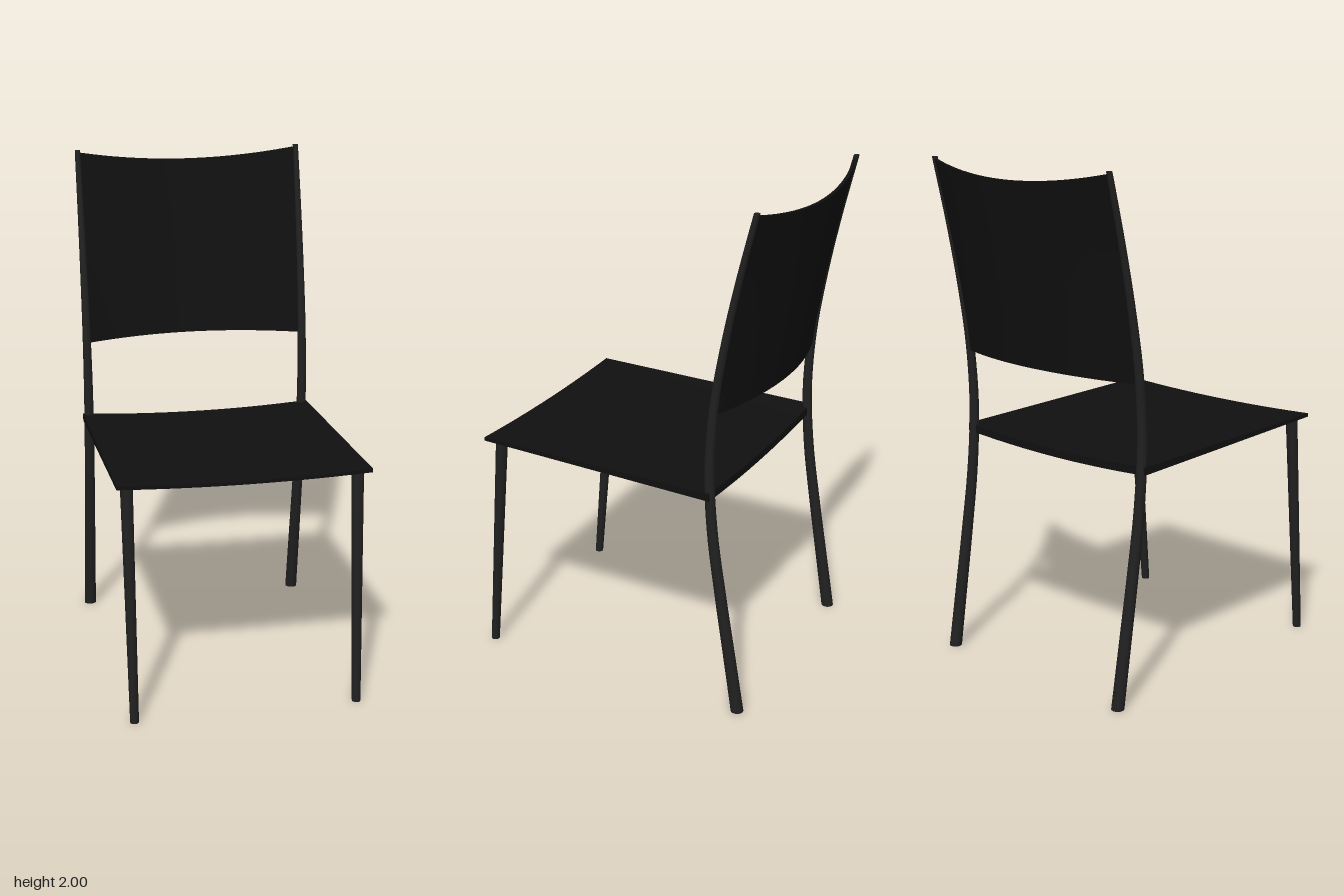
import * as THREE from 'three';

const { lerp } = THREE.MathUtils;
const shellMaterial = new THREE.MeshStandardMaterial({ color: 0x101010 });
const legMaterial = new THREE.MeshStandardMaterial({ color: 0x202020 });

// Side curve of the back legs, as (z, y) points at equal height steps
const railCurve = new THREE.SplineCurve(
  [-0.52, -0.48, -0.44, -0.405, -0.39, -0.405, -0.445, -0.498, -0.56]
    .map((z, i) => new THREE.Vector2(z, i * 0.25))
);

// Moves every vertex of a geometry by a rule
function reshape(geometry, rule) {
  const p = geometry.attributes.position;
  const v = new THREE.Vector3();
  for (let i = 0; i < p.count; i++) {
    rule(v.fromBufferAttribute(p, i));
    p.setXYZ(i, v.x, v.y, v.z);
  }
  geometry.computeVertexNormals();
  return geometry;
}

// Tapered round bar with level ends; path(t) gives its centre, radius(t) its size
function bar(path, radius, segments) {
  return reshape(new THREE.CylinderGeometry(1, 1, 1, 16, segments), (v) => {
    const t = v.y + 0.5;
    const c = path(t);
    const r = radius(t);
    v.set(c.x + v.x * r, c.y, c.z + v.z * r);
  });
}

export function createModel() {
  const model = new THREE.Group();
  const add = (name, geometry, material) => {
    const mesh = new THREE.Mesh(geometry, material);
    mesh.name = name;
    model.add(mesh);
  };

  // Seat: thin slab, sagging across its width and sloping to the back
  add('seat', reshape(new THREE.BoxGeometry(2, 1, 1, 24, 1, 4), (v) => {
    const front = v.z + 0.5;
    const sag = (1 - v.x * v.x) * lerp(0.018, 0.013, front);
    const top = lerp(0.918, 0.945, front);
    const thickness = lerp(0.031, 0.014, front);
    v.set(v.x * 0.485, top - sag - (0.5 - v.y) * thickness, lerp(-0.4, 0.585, front));
  }), shellMaterial);

  // Backrest: sides follow the rails, middle bows to the rear
  add('backrest', reshape(new THREE.BoxGeometry(2, 1, 1, 24, 16, 1), (v) => {
    const h = v.y + 0.5;
    const bow = 1 - v.x * v.x;
    const side = railCurve.getPoint(lerp(1.225, 1.985, h) / 2);
    const y = lerp(side.y, lerp(1.23, 1.945, h), bow);
    const z = lerp(side.x, lerp(-0.487, -0.618, h), bow);
    v.set(v.x * 0.46, y, z + v.z * 0.014);
  }), shellMaterial);

  // Legs, mirrored left and right
  for (const [label, s] of [['left', 1], ['right', -1]]) {
    add(label + 'BackLeg', bar(
      (t) => {
        const p = railCurve.getPoint(t);
        return { x: s * 0.461, y: p.y, z: p.x };
      },
      (t) => (t < 0.5 ? lerp(0.025, 0.019, t * 2) : lerp(0.019, 0.011, t * 2 - 1)),
      48
    ), legMaterial);

    add(label + 'FrontLeg', bar(
      (t) => ({ x: s * lerp(0.437, 0.441, t), y: t * 0.93, z: lerp(0.612, 0.532, t) }),
      (t) => lerp(0.017, 0.024, t),
      1
    ), legMaterial);
  }
  return model;
}
